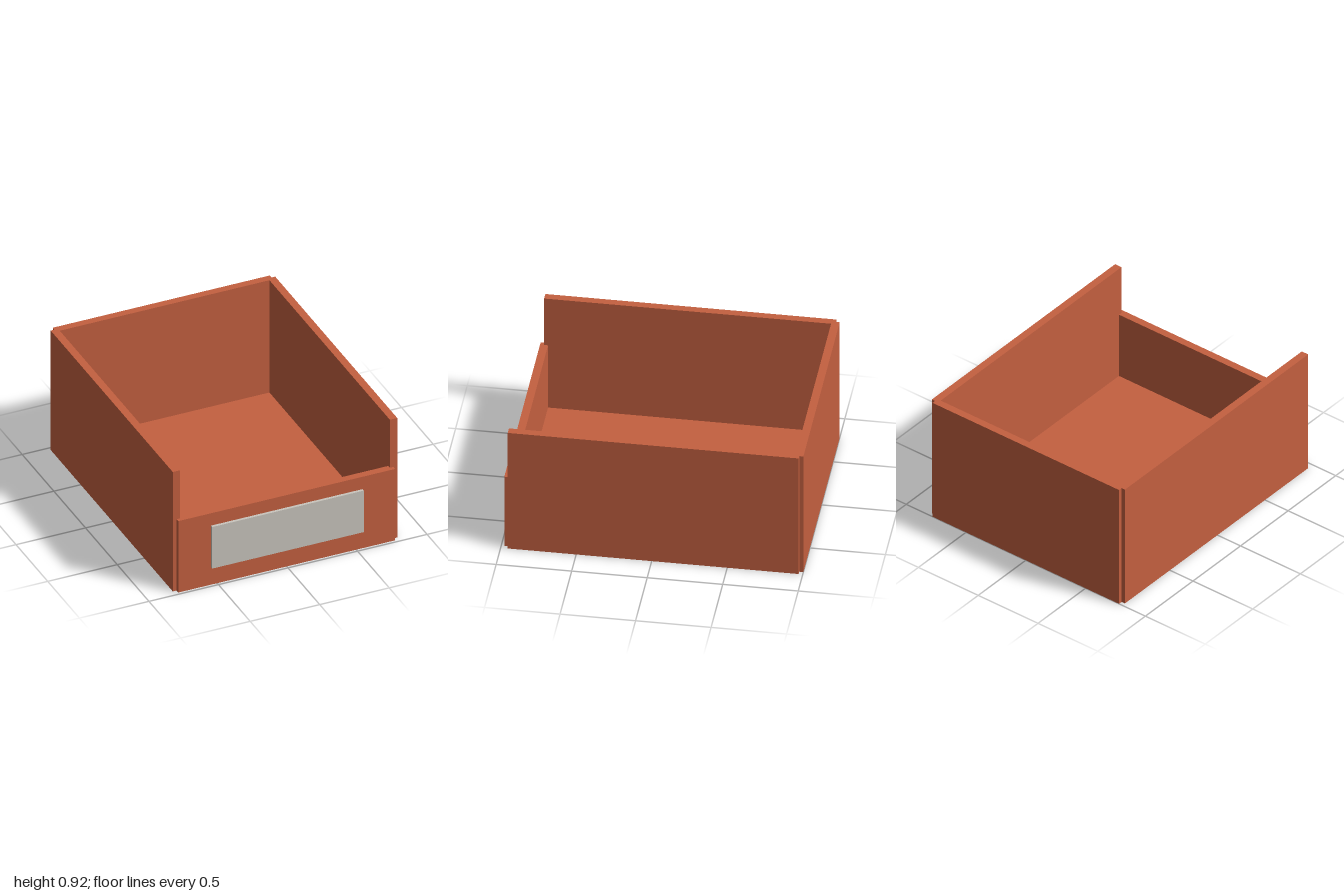
import * as THREE from 'three';

export function createModel() {
  const model = new THREE.Group();
  model.name = 'openFrontBin';

  const terracotta = new THREE.MeshStandardMaterial({ color: 0xc46040 });
  terracotta.name = 'terracotta';
  const paleGrey = new THREE.MeshStandardMaterial({ color: 0xc9c5bd });
  paleGrey.name = 'paleGrey';

  // Box given by its lower and upper limits on each axis
  function panel(name, material, [x0, x1], [y0, y1], [z0, z1]) {
    const mesh = new THREE.Mesh(new THREE.BoxGeometry(x1 - x0, y1 - y0, z1 - z0), material);
    mesh.position.set((x0 + x1) / 2, (y0 + y1) / 2, (z0 + z1) / 2);
    mesh.name = name;
    model.add(mesh);
  }

  const height = 0.92;
  const outer = 0.807, inner = 0.754; // side wall faces
  const endHalf = 0.78; // front and back stop halfway into the side walls

  // Floor
  panel('floor', terracotta, [-endHalf, endHalf], [0, 0.055], [-0.973, 0.953]);

  // Side walls
  panel('leftWall', terracotta, [inner, outer], [0, height], [-0.973, 0.953]);
  panel('rightWall', terracotta, [-outer, -inner], [0, height], [-0.973, 0.953]);

  // Full-height back and low front, standing slightly proud of the sides
  panel('backWall', terracotta, [-endHalf, endHalf], [0, height], [-1, -0.947]);
  panel('frontWall', terracotta, [-endHalf, endHalf], [0, 0.55], [0.927, 0.98]);

  // Blank label plate on the front
  panel('labelPlate', paleGrey, [-0.545, 0.545], [0.135, 0.455], [0.98, 1]);

  return model;
}
